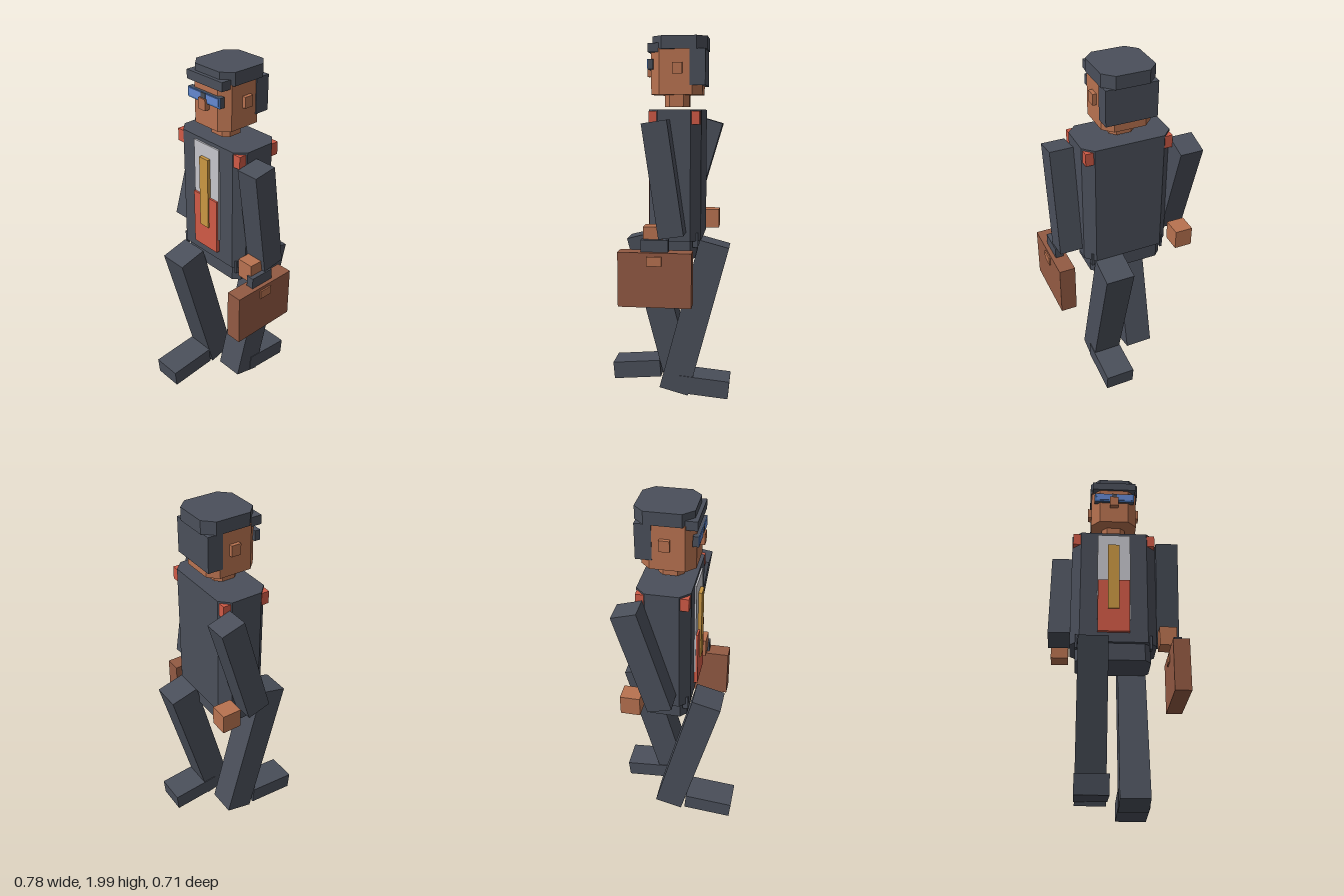
import * as THREE from 'three';

const mat = (name, color) => {
  const m = new THREE.MeshStandardMaterial({ color });
  m.name = name;
  return m;
};

export function createModel() {
  const suit = mat('suit grey', 0x4a4f5a);
  const skin = mat('skin', 0xb87250);
  const leather = mat('case leather', 0x935a43);
  const red = mat('red', 0xd05a46);
  const white = mat('shirt white', 0xc6c6cc);
  const gold = mat('tie gold', 0xca9742);
  const frameBlue = mat('frame blue', 0x4672b4);
  const lensBlue = mat('lens blue', 0x6488d0);

  const root = new THREE.Group();
  root.name = 'walkingMan';
  const add = (parent, name, geo, material) => {
    const m = new THREE.Mesh(geo, material);
    m.name = name;
    parent.add(m);
    return m;
  };
  const group = (name) => {
    const g = new THREE.Group();
    g.name = name;
    root.add(g);
    return g;
  };
  // Box given by its lower and upper limits on each axis
  const box = (parent, name, material, x0, x1, y0, y1, z0, z1) => {
    const m = add(parent, name, new THREE.BoxGeometry(x1 - x0, y1 - y0, z1 - z0), material);
    m.position.set((x0 + x1) / 2, (y0 + y1) / 2, (z0 + z1) / 2);
    return m;
  };
  // Upright block with four cut corners
  const octBlock = (parent, name, material, x0, x1, y0, y1, z0, z1, cut) => {
    const a = (x1 - x0) / 2, b = (z1 - z0) / 2;
    const s = new THREE.Shape([
      [a, b - cut], [a - cut, b], [cut - a, b], [-a, b - cut],
      [-a, cut - b], [cut - a, -b], [a - cut, -b], [a, cut - b],
    ].map(([x, y]) => new THREE.Vector2(x, y)));
    const geo = new THREE.ExtrudeGeometry(s, { depth: y1 - y0, bevelEnabled: false });
    geo.rotateX(-Math.PI / 2);
    const m = add(parent, name, geo, material);
    m.position.set((x0 + x1) / 2, y0, (z0 + z1) / 2);
    return m;
  };
  // Box swung about x around its own centre
  const limb = (parent, name, x0, x1, y, z, height, depth, swing) => {
    const m = add(parent, name, new THREE.BoxGeometry(x1 - x0, height, depth), suit);
    m.position.set((x0 + x1) / 2, y, z);
    m.rotation.x = swing;
  };

  // Head, hair and cap
  const head = group('head');
  octBlock(head, 'face', skin, -0.155, 0.115, 1.69, 1.935, -0.18, 0.1, 0.05);
  octBlock(head, 'neck', skin, -0.09, 0.05, 1.625, 1.69, -0.105, 0.03, 0.03);
  octBlock(head, 'cap', suit, -0.162, 0.126, 1.93, 2.0, -0.208, 0.092, 0.055);
  box(head, 'capBrim', suit, -0.15, 0.11, 1.915, 1.963, 0.05, 0.112);
  box(head, 'backHair', suit, -0.158, 0.12, 1.74, 1.932, -0.2, -0.115);
  box(head, 'rightEar', skin, -0.175, -0.15, 1.8, 1.86, -0.076, -0.022);
  box(head, 'leftEar', skin, 0.11, 0.136, 1.8, 1.86, -0.076, -0.022);
  box(head, 'nose', skin, -0.045, 0.005, 1.79, 1.85, 0.09, 0.13);

  // Glasses
  const glasses = group('glasses');
  box(glasses, 'glassesBody', suit, -0.138, 0.1, 1.825, 1.88, 0.085, 0.113);
  box(glasses, 'glassesFrame', frameBlue, -0.138, 0.1, 1.825, 1.88, 0.113, 0.116);
  box(glasses, 'lenses', lensBlue, -0.126, 0.09, 1.835, 1.875, 0.116, 0.119);
  box(glasses, 'bridge', suit, -0.034, -0.002, 1.85, 1.878, 0.113, 0.122);

  // Torso and clothing
  const torso = group('torso');
  octBlock(torso, 'jacket', suit, -0.265, 0.225, 0.905, 1.61, -0.185, 0.095, 0.053);
  octBlock(torso, 'hips', suit, -0.235, 0.19, 0.805, 0.905, -0.165, 0.075, 0.035);
  box(torso, 'shirt', white, -0.115, 0.075, 1.04, 1.59, 0.09, 0.104);
  box(torso, 'vest', red, -0.112, 0.07, 0.962, 1.285, 0.09, 0.115);
  box(torso, 'tie', gold, -0.055, 0.01, 1.1, 1.515, 0.09, 0.123);
  for (const [x0, x1, c0, c1] of [[-0.26, -0.215, -0.235, -0.222], [0.175, 0.22, 0.182, 0.195]]) {
    for (const [z0, z1] of [[-0.18, -0.135], [0.048, 0.092]]) {
      box(torso, 'shoulderTab', red, x0, x1, 1.53, 1.6, z0, z1);
      const z = (z0 + z1) / 2;
      box(torso, 'cornerTab', suit, c0, c1, 0.87, 0.95, z - 0.015, z + 0.015);
    }
  }

  // Arms and hands
  const arms = group('arms');
  limb(arms, 'leftArm', 0.225, 0.354, 1.247, 0, 0.607, 0.134, 0.147);
  limb(arms, 'rightArm', -0.39, -0.262, 1.258, -0.125, 0.607, 0.136, -0.285);
  box(arms, 'leftHand', skin, 0.235, 0.332, 0.89, 1.0, 0, 0.105);
  box(arms, 'rightHand', skin, -0.375, -0.275, 0.905, 1.016, -0.258, -0.15);

  // Legs in mid stride
  const legs = group('legs');
  limb(legs, 'rightLeg', -0.218, -0.055, 0.462, 0.074, 0.877, 0.165, 0.257);
  limb(legs, 'leftLeg', 0.015, 0.177, 0.462, -0.149, 0.877, 0.165, -0.257);
  limb(legs, 'rightFoot', -0.221, -0.051, 0.071, 0.21, 0.1, 0.282, 0.088);
  limb(legs, 'leftFoot', 0.011, 0.181, 0.071, -0.206, 0.1, 0.282, -0.088);

  // Briefcase
  const briefcase = group('briefcase');
  box(briefcase, 'caseBody', leather, 0.29, 0.38, 0.577, 0.87, -0.155, 0.235);
  box(briefcase, 'caseLatch', skin, 0.284, 0.388, 0.8, 0.85, 0.002, 0.08);
  box(briefcase, 'caseHandle', suit, 0.312, 0.357, 0.87, 0.934, -0.03, 0.115);

  return root;
}
